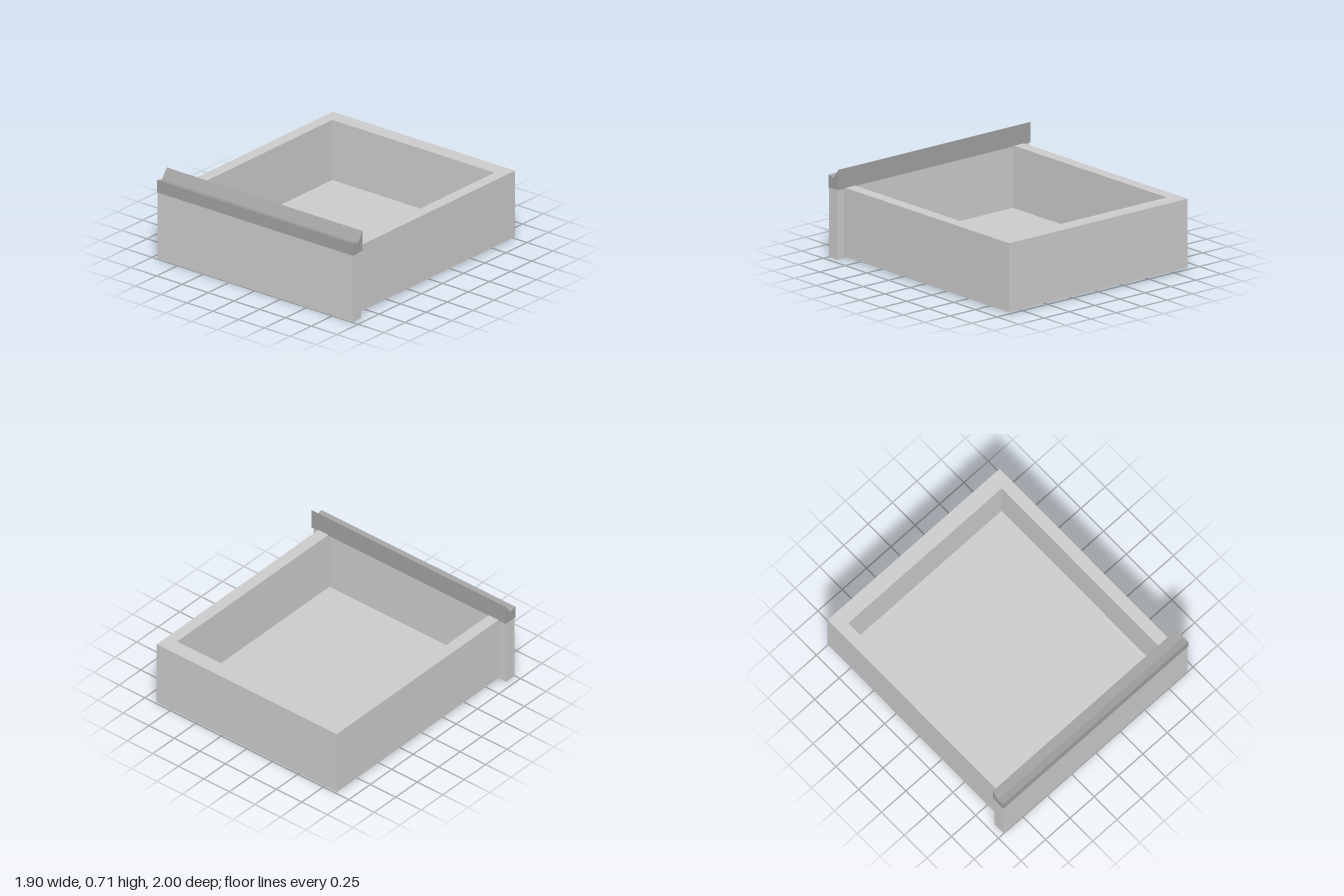
import * as THREE from 'three';

export function createModel() {
  const model = new THREE.Group();
  model.name = 'drawer';
  const lightGrey = new THREE.MeshStandardMaterial({ color: 0xcccccc });
  lightGrey.name = 'light grey';
  const midGrey = new THREE.MeshStandardMaterial({ color: 0xa2a2a2 });
  midGrey.name = 'mid grey';

  const add = (name, geometry, material) => {
    const mesh = new THREE.Mesh(geometry, material);
    mesh.name = name;
    model.add(mesh);
    return mesh;
  };
  const shapeOf = (points) => new THREE.Shape(points.map(([x, y]) => new THREE.Vector2(x, y)));

  // Walls: U-shaped plan, closed at the front by the panel
  const bottom = 0.015, floorTop = 0.065, top = 0.555;
  const back = -1, joint = 0.9, outer = 0.883, inner = 0.787, innerBack = -0.875;
  const plan = shapeOf([
    [-outer, -joint], [-inner, -joint], [-inner, -innerBack], [inner, -innerBack],
    [inner, -joint], [outer, -joint], [outer, -back], [-outer, -back],
  ]);
  const walls = new THREE.ExtrudeGeometry(plan, { depth: top - floorTop, bevelEnabled: false });
  walls.rotateX(-Math.PI / 2).translate(0, floorTop, 0);
  add('walls', walls, lightGrey);

  // Floor slab beneath the walls
  const floor = new THREE.BoxGeometry(outer * 2, floorTop - bottom, joint - back);
  floor.translate(0, (floorTop + bottom) / 2, (joint + back) / 2);
  add('floor', floor, lightGrey);

  // Front panel, wider than the box
  const panel = new THREE.BoxGeometry(1.89, 0.55, 0.1);
  panel.translate(0, 0.275, 0.949);
  add('frontPanel', panel, lightGrey);

  // Grip rail with a shallow valley and a raised rear lip
  const profile = shapeOf([
    [-1, 0.545], [-0.885, 0.55], [-0.885, 0.71], [-0.943, 0.632], [-1, 0.646],
  ]);
  const rail = new THREE.ExtrudeGeometry(profile, { depth: 1.9, bevelEnabled: false });
  rail.translate(0, 0, -0.95).rotateY(Math.PI / 2);
  add('gripRail', rail, midGrey);

  return model;
}
